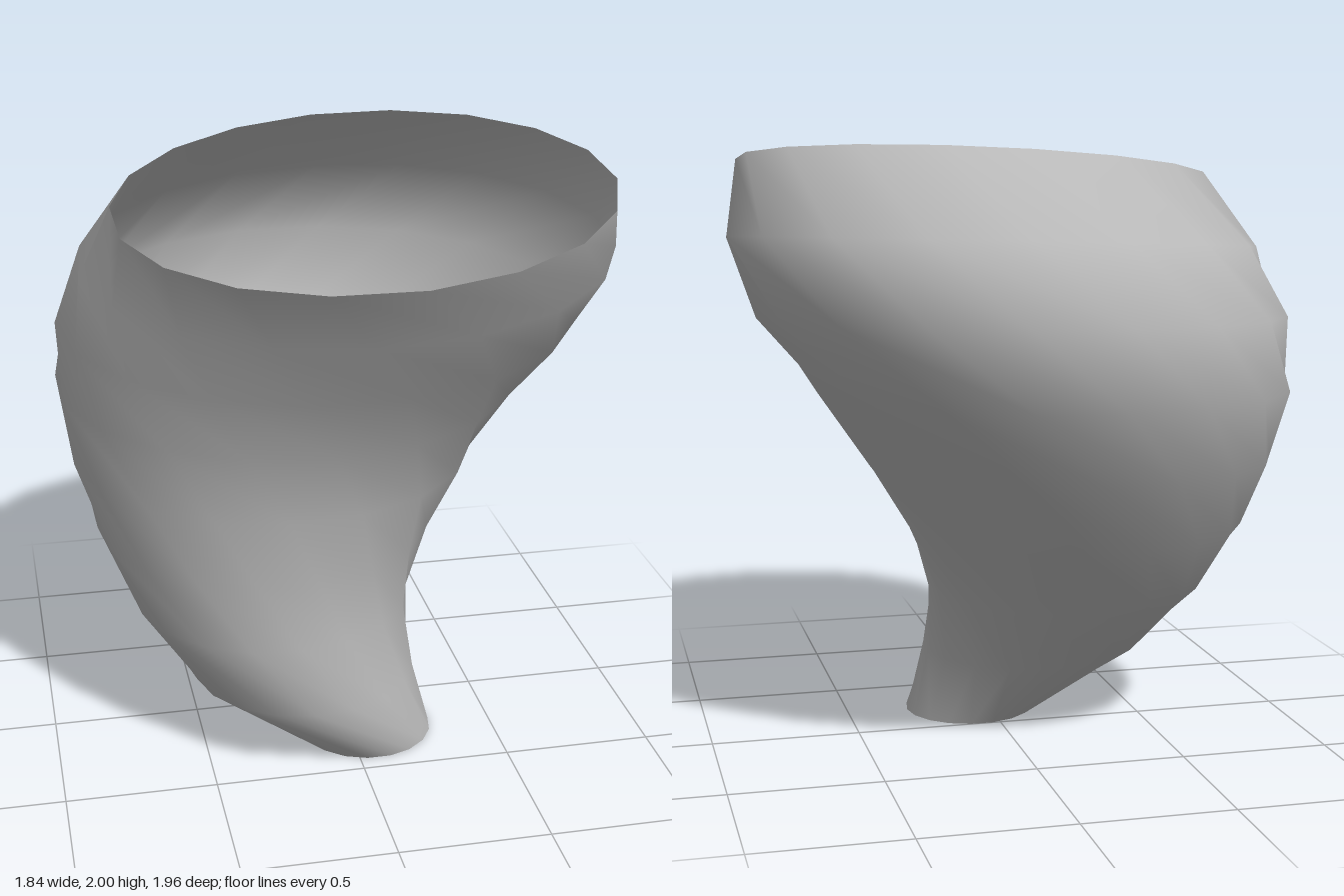
import * as THREE from 'three';

const SIDES = 18;
const TWIST = THREE.MathUtils.degToRad(13.6); // turn of each ring over the one below

// Rings from foot to mouth: height, centre x, centre z, radius x, radius z, slope along x, slope along z
const RINGS = [
  [0.00, 0.065, 0.22, 0.225, 0.222, 0, 0],
  [0.24, -0.145, 0.165, 0.378, 0.368, 0, 0],
  [0.48, -0.235, 0.05, 0.47, 0.472, 0, 0],
  [0.72, -0.245, -0.045, 0.57, 0.578, 0, -0.01],
  [0.96, -0.20, -0.12, 0.685, 0.675, 0, -0.015],
  [1.20, -0.14, -0.165, 0.785, 0.77, 0, -0.025],
  [1.44, -0.04, -0.125, 0.875, 0.86, 0.01, -0.04],
  [1.675, 0.04, -0.02, 0.885, 0.88, 0.034, -0.06],
  [1.91, 0.055, 0.197, 0.80, 0.79, 0.06, -0.10],
];

// Open skin through the rings, joined by diagonals that follow the twist
function twistedHorn() {
  const positions = [];
  const index = [];
  RINGS.forEach(([y, cx, cz, rx, rz, sx, sz], i) => {
    for (let k = 0; k < SIDES; k++) {
      const angle = (k / SIDES) * Math.PI * 2 + i * TWIST;
      const dx = Math.cos(angle) * rx;
      const dz = Math.sin(angle) * rz;
      positions.push(cx + dx, y + dx * sx + dz * sz, cz + dz);
      if (i === RINGS.length - 1) continue;
      const next = (k + 1) % SIDES;
      const a = i * SIDES + k, b = i * SIDES + next;
      const c = a + SIDES, d = b + SIDES;
      index.push(a, c, d, a, d, b);
    }
  });
  const geometry = new THREE.BufferGeometry();
  geometry.setAttribute('position', new THREE.Float32BufferAttribute(positions, 3));
  geometry.setIndex(index);
  geometry.computeVertexNormals();
  return geometry;
}

export function createModel() {
  const grey = new THREE.MeshStandardMaterial({ color: 0xb8b8b8, side: THREE.DoubleSide });
  grey.name = 'grey';
  const horn = new THREE.Mesh(twistedHorn(), grey);
  horn.name = 'twistedHorn';
  const group = new THREE.Group();
  group.name = 'hornShell';
  group.add(horn);
  return group;
}
